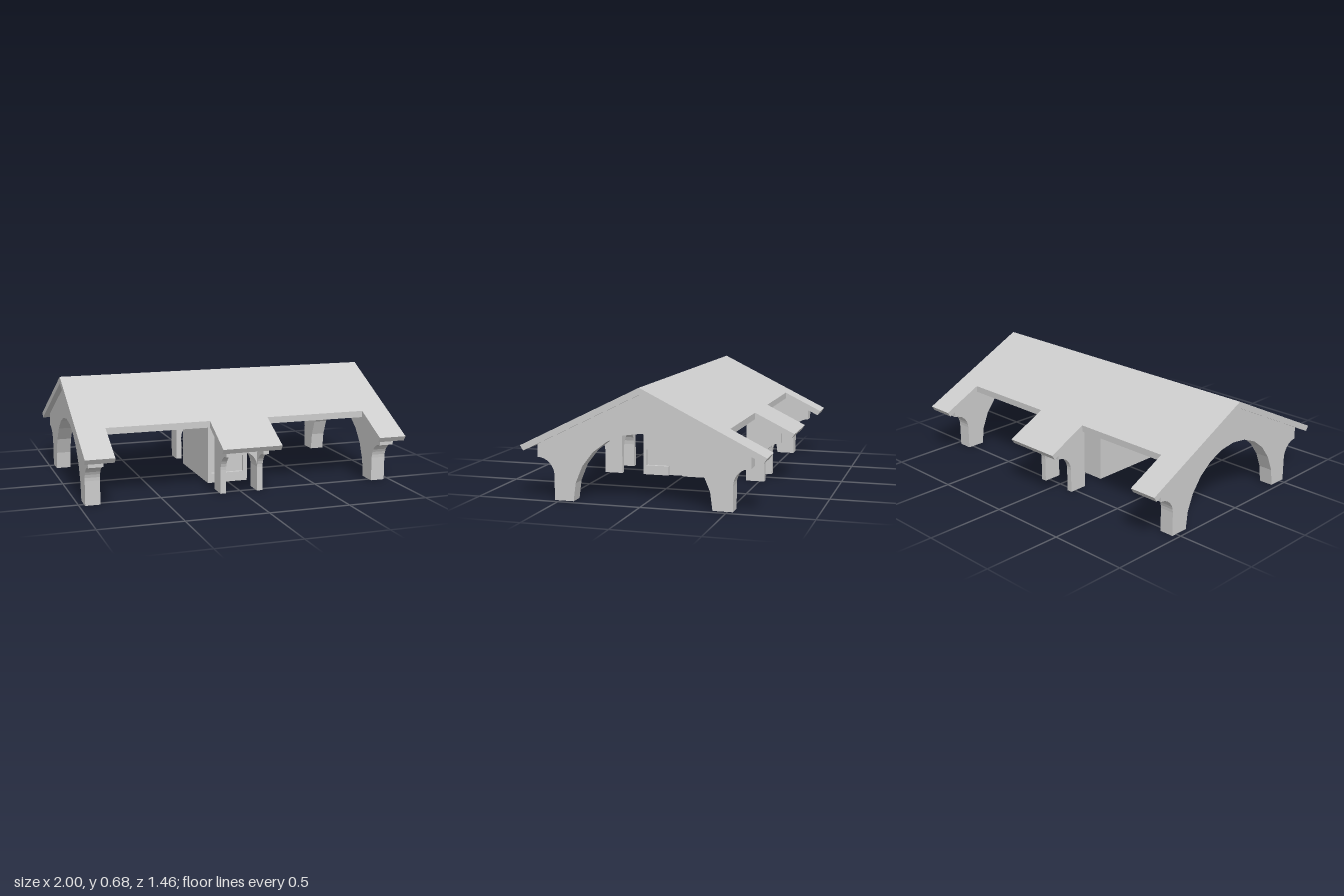
import * as THREE from 'three';

const APEX = 0.68, THICK = 0.04, EAVE = 0.73, NOTCH = 0.48;
const SLOPE = 0.36 / EAVE;
// Height just inside the underside of the roof
const under = z => APEX - THICK + 0.004 - SLOPE * Math.abs(z);

// Points along a circular arc
function arc(cx, cy, r, from, to, n) {
  return Array.from({ length: n + 1 }, (_, i) => {
    const a = from + (to - from) * i / n;
    return [cx + r * Math.cos(a), cy + r * Math.sin(a)];
  });
}

const toShape = pts => new THREE.Shape(pts.map(p => new THREE.Vector2(p[0], p[1])));
const mirrored = pts => pts.map(([z, y]) => [-z, y]).reverse();
const extrude = (pts, depth) => new THREE.ExtrudeGeometry(toShape(pts), { depth, bevelEnabled: false });

// Extrude a (z, y) profile between two x positions
const extrudeX = (pts, x0, x1) => extrude(pts, x1 - x0).rotateY(-Math.PI / 2).translate(x1, 0, 0);

// Remove the faces lying in one axis plane (axis 0, 1, 2 = x, y, z)
function dropFaces(g, axis, value) {
  const p = g.attributes.position, keep = [];
  const corners = g.index ? Array.from(g.index.array) : Array.from({ length: p.count }, (_, i) => i);
  for (let i = 0; i < corners.length; i += 3) {
    const tri = corners.slice(i, i + 3);
    if (!tri.every(k => Math.abs(p.getComponent(k, axis) - value) < 1e-4)) keep.push(...tri);
  }
  g.setIndex(keep);
  return g;
}
const openBottom = g => dropFaces(g, 1, 0);

// Half of the roof: notched plan, extruded and sloped down from the ridge
function roofHalf() {
  const half = [[1, 0], [1, EAVE], [0.825, EAVE], [0.825, NOTCH], [0.185, NOTCH], [0.185, EAVE]];
  const g = extrude([...half, ...mirrored(half)], THICK).rotateX(Math.PI / 2);
  const p = g.attributes.position;
  for (let i = 0; i < p.count; i++) {
    // the lower edge of the deep eaves is cut square to the slope
    if (p.getY(i) < -THICK / 2 && p.getZ(i) > NOTCH + 0.1) p.setZ(i, EAVE - 0.02);
    p.setY(i, p.getY(i) + APEX - SLOPE * p.getZ(i));
  }
  g.computeVertexNormals();
  return dropFaces(g, 2, 0);
}

export function createModel() {
  const group = new THREE.Group();
  const grey = new THREE.MeshStandardMaterial({ color: 0xcccccc, flatShading: true, side: THREE.DoubleSide });
  grey.name = 'light grey';
  const add = (name, geometry) => {
    const m = new THREE.Mesh(geometry, grey);
    m.name = name;
    group.add(m);
  };

  // Roof
  add('frontRoof', roofHalf());
  add('backRoof', roofHalf().rotateY(Math.PI));

  // Outer side of a leg: roof line, corbel and foot
  const corbel = [[0.635, under(0.635)], ...arc(0.635, 0.147, 0.103, Math.PI / 2, Math.PI, 8), [0.532, 0]];

  // Gable end arches
  const gable = [[0, under(0)], ...corbel, ...arc(0, 0, 0.415, 0, Math.PI, 12), ...mirrored(corbel)];
  add('leftGableArch', openBottom(extrudeX(gable, 0.875, 0.965)));
  add('rightGableArch', openBottom(extrudeX(gable, -0.965, -0.875)));

  // Porches at front and back: two corbelled legs joined by a small arch
  const leg = [[0.415, under(0.415)], ...corbel, [0.415, 0]];
  const lintel = [[0.1, 0.15], [0.1, under(0.532)], [-0.1, under(0.532)], [-0.1, 0.15],
    ...arc(0, 0.15, 0.1, Math.PI, 0, 12).slice(1, -1)];
  for (const [side, s] of [['front', 1], ['back', -1]]) {
    for (const x of [-0.135, 0.1]) {
      add(side + 'PorchLeg', openBottom(extrudeX(s > 0 ? leg : mirrored(leg), x, x + 0.035)));
    }
    add(side + 'PorchArch', extrude(lintel, 0.117).translate(0, 0, s > 0 ? 0.415 : -0.532));
  }

  // Central booth: thin walls, open underneath
  const w = 0.13, d = 0.27, h = 0.515, inset = 0.02;
  const counter = [[0, 0], [0, 0.165], [0.25, 0.165], [0.25, 0.06], [0.1, 0.06], [0.1, 0]];
  const sideWall = [[-d, 0], ...counter, [d, 0], [d, h], [-d, h]];
  add('boothDoorWall', new THREE.ShapeGeometry(toShape(sideWall.map(([z, y]) => [-z, y])))
    .rotateY(Math.PI / 2).translate(w, 0, 0));
  add('boothPlainWall', new THREE.PlaneGeometry(2 * d, h).rotateY(-Math.PI / 2).translate(-w, h / 2, 0));
  add('boothBackWall', new THREE.PlaneGeometry(2 * w, h).rotateY(Math.PI).translate(0, h / 2, -d));
  add('boothCeiling', new THREE.PlaneGeometry(2 * w, 2 * d).rotateX(-Math.PI / 2).translate(0, h, 0));

  // Front wall with its window opening
  const pane = [[-0.105, 0.06], [-0.105, 0.165], [0.105, 0.165], [0.105, 0.06]];
  const front = toShape([[-w, 0], [w, 0], [w, h], [-w, h]]);
  front.holes.push(new THREE.Path(pane.map(p => new THREE.Vector2(...p))));
  add('boothFrontWall', new THREE.ShapeGeometry(front).translate(0, 0, d));

  // Shallow recesses behind the window and the door with its counter
  add('boothWindowRecess', dropFaces(extrude(pane, inset).translate(0, 0, d - inset), 2, d));
  add('boothDoorRecess', openBottom(dropFaces(extrudeX(counter, w - inset, w), 0, w)));

  return group;
}
